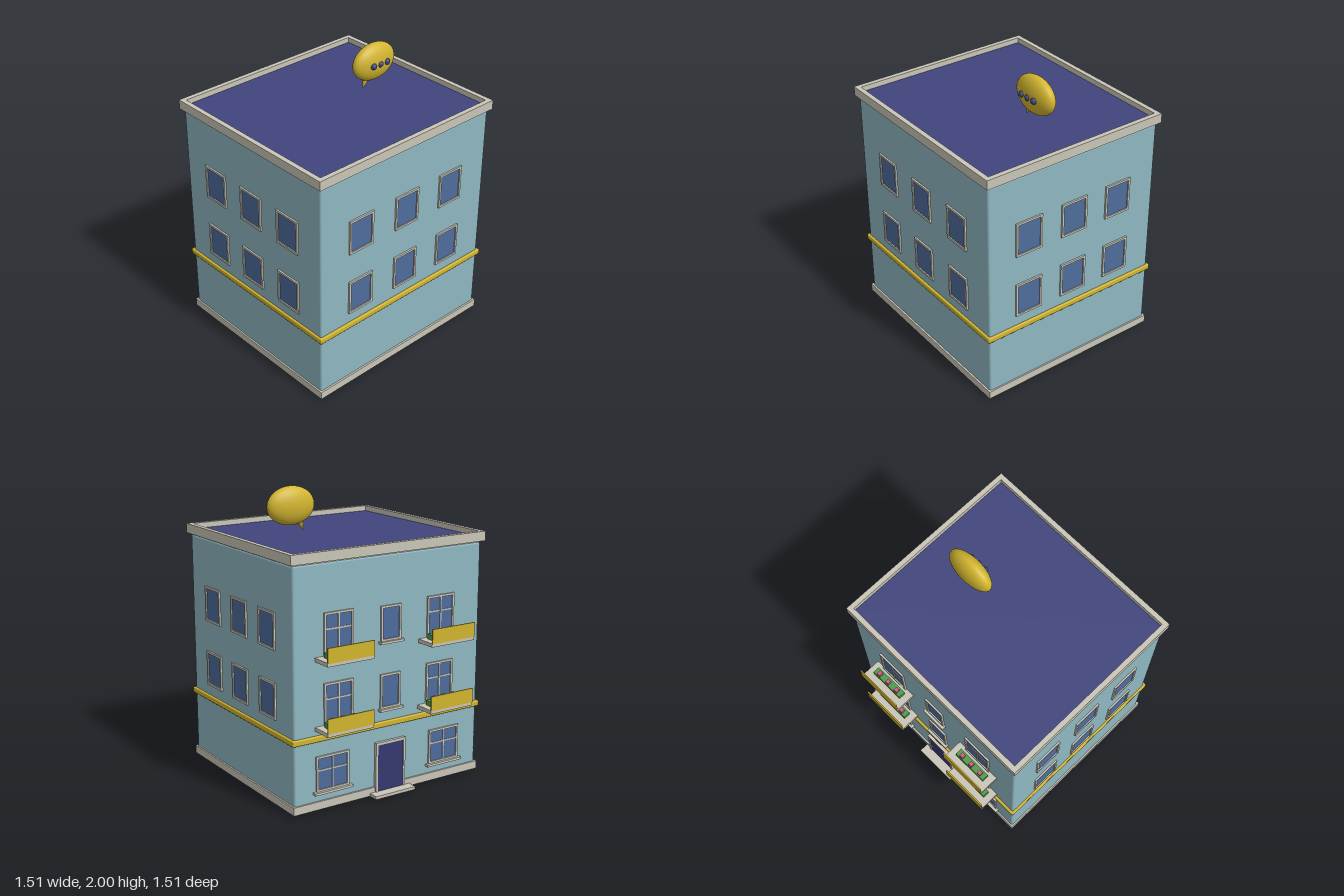
import * as THREE from 'three';
import { RoundedBoxGeometry } from 'three/addons/geometries/RoundedBoxGeometry.js';

const mat = (name, color) => new THREE.MeshStandardMaterial({ name, color });

export function createModel() {
  const M = {
    wall: mat('wallBlue', 0x8fb7c1),
    trim: mat('stoneTrim', 0xc9c5b7),
    gold: mat('gold', 0xd2b52f),
    roof: mat('roofNavy', 0x40447c),
    glass: mat('windowGlass', 0x4e6c9c),
    door: mat('doorNavy', 0x35376f),
    green: mat('planterGreen', 0x4f9b4b),
    pink: mat('flowerPink', 0xd2588a),
  };
  const root = new THREE.Group();
  root.name = 'building';
  const X = 0.735, ZF = 0.732, ZB = -0.606, ZC = (ZF + ZB) / 2;

  const add = (parent, name, geo, m, x = 0, y = 0, z = 0) => {
    const mesh = new THREE.Mesh(geo, m);
    mesh.name = name;
    mesh.position.set(x, y, z);
    parent.add(mesh);
    return mesh;
  };
  // box given by its min and max corners
  const box = (parent, name, m, x0, x1, y0, y1, z0, z1) =>
    add(parent, name, new THREE.BoxGeometry(x1 - x0, y1 - y0, z1 - z0), m,
      (x0 + x1) / 2, (y0 + y1) / 2, (z0 + z1) / 2);
  const rect = (P, w, h) => {
    const p = new P();
    p.moveTo(-w / 2, -h / 2);
    p.lineTo(w / 2, -h / 2);
    p.lineTo(w / 2, h / 2);
    p.lineTo(-w / 2, h / 2);
    p.closePath();
    return p;
  };
  const ring = (w, h, t, depth) => {
    const s = rect(THREE.Shape, w, h);
    s.holes.push(rect(THREE.Path, w - 2 * t, h - 2 * t));
    return new THREE.ExtrudeGeometry(s, { depth, bevelEnabled: false });
  };

  // main masses
  add(root, 'walls', new RoundedBoxGeometry(2 * X, 1.6, ZF - ZB, 1, 0.013), M.wall, 0, 0.82, ZC);
  box(root, 'plinth', M.trim, -0.746, 0.746, 0.015, 0.07, -0.618, 0.745);
  add(root, 'floorBand', new RoundedBoxGeometry(1.5, 0.04, 1.372, 1, 0.008), M.gold, 0, 0.495, ZC);

  // parapet around the flat roof
  const parapet = add(root, 'parapet', ring(1.514, 1.38, 0.034, 0.065), M.trim, 0, 1.63, ZC);
  parapet.rotation.x = -Math.PI / 2;
  box(root, 'roofUnderside', M.trim, -0.73, 0.73, 1.618, 1.632, ZC - 0.66, ZC + 0.66);
  box(root, 'roof', M.roof, -0.724, 0.724, 1.632, 1.658, ZC - 0.657, ZC + 0.657);

  // window facing +z, optionally with glazing bars and a sill
  const makeWindow = (w, h, { bars = 0, sill = 0 } = {}) => {
    const g = new THREE.Group();
    g.name = 'window';
    add(g, 'windowFrame', ring(w, h, 0.015, 0.012), M.trim);
    box(g, 'windowGlass', M.glass, -w / 2 + 0.014, w / 2 - 0.014, -h / 2 + 0.014, h / 2 - 0.014, -0.002, 0.004);
    if (bars) {
      const y = (bars - 0.5) * h;
      box(g, 'mullion', M.trim, -0.005, 0.005, -h / 2 + 0.01, h / 2 - 0.01, 0, 0.009);
      box(g, 'transom', M.trim, -w / 2 + 0.01, w / 2 - 0.01, y - 0.005, y + 0.005, 0, 0.008);
    }
    if (sill) box(g, 'windowSill', M.trim, -sill / 2, sill / 2, -h / 2 - 0.014, -h / 2 + 0.002, 0, 0.03);
    return g;
  };
  const place = (g, x, y, z, turn) => {
    g.position.set(x, y, z);
    g.rotation.y = turn;
    root.add(g);
  };

  // front and side windows
  for (const y of [0.7125, 1.1725]) {
    for (const i of [-1, 0, 1]) {
      place(makeWindow(0.204, 0.245), i * 0.4, y, ZF, 0);
      for (const s of [-1, 1])
        place(makeWindow(0.204, 0.245), s * X, y, 0.065 + i * 0.36, s * Math.PI / 2);
    }
  }

  // back windows
  for (const s of [-1, 1])
    place(makeWindow(0.25, 0.24, { bars: 0.6, sill: 0.29 }), s * 0.45, 0.255, ZB, Math.PI);
  for (const floor of [0.573, 1.028]) {
    place(makeWindow(0.16, 0.235, { sill: 0.185 }), 0, floor + 0.145, ZB, Math.PI);
    for (const s of [-1, 1])
      place(makeWindow(0.22, 0.28, { bars: 0.62 }), s * 0.403, floor + 0.138, ZB, Math.PI);
  }

  // balconies with planters
  for (const floor of [0.573, 1.028]) {
    for (const s of [-1, 1]) {
      const b = new THREE.Group();
      b.name = 'balcony';
      b.position.set(s * 0.403, floor, 0);
      root.add(b);
      box(b, 'balconySlab', M.trim, -0.175, 0.175, -0.026, 0, -0.752, ZB);
      box(b, 'balconyPanel', M.gold, -0.175, 0.175, -0.004, 0.095, -0.756, -0.747);
      box(b, 'planter', M.green, -0.127, 0.127, 0, 0.034, -0.688, -0.638);
      for (const i of [-1, 0, 1])
        box(b, 'flower', M.pink, i * 0.082 - 0.014, i * 0.082 + 0.014, 0.03, 0.06, -0.682, -0.654);
    }
  }

  // entrance
  const door = new THREE.Group();
  door.name = 'entrance';
  root.add(door);
  box(door, 'doorPanel', M.door, -0.105, 0.105, 0.036, 0.362, -0.622, ZB);
  for (const s of [-1, 1])
    box(door, 'doorJamb', M.trim, s * 0.111 - 0.008, s * 0.111 + 0.008, 0.036, 0.375, -0.627, ZB);
  box(door, 'doorLintel', M.trim, -0.119, 0.119, 0.36, 0.377, -0.627, ZB);
  add(door, 'doorKnob', new THREE.SphereGeometry(0.007, 10, 8), M.gold, 0.08, 0.19, -0.625);
  box(door, 'doorStep', M.trim, -0.16, 0.16, 0.014, 0.035, -0.688, ZB);
  box(door, 'lowerStep', M.trim, -0.127, 0.127, 0, 0.015, -0.625, -0.6);

  // speech bubble above the roof
  const bubble = new THREE.Group();
  bubble.name = 'speechBubble';
  bubble.position.set(0.333, 1.87, 0.065);
  root.add(bubble);
  add(bubble, 'bubbleBody', new THREE.SphereGeometry(1, 40, 28), M.gold).scale.set(0.178, 0.13, 0.072);
  const tailGeo = new THREE.ConeGeometry(0.032, 0.095, 16);
  const tail = add(bubble, 'bubbleTail', tailGeo, M.gold, -0.078, -0.132, 0);
  tail.rotation.z = Math.PI - 0.42;
  tail.scale.z = 0.75;
  for (const i of [-1, 0, 1])
    add(bubble, 'bubbleDot', new THREE.SphereGeometry(0.022, 18, 12), M.roof, i * 0.061, 0, 0.065);

  return root;
}
